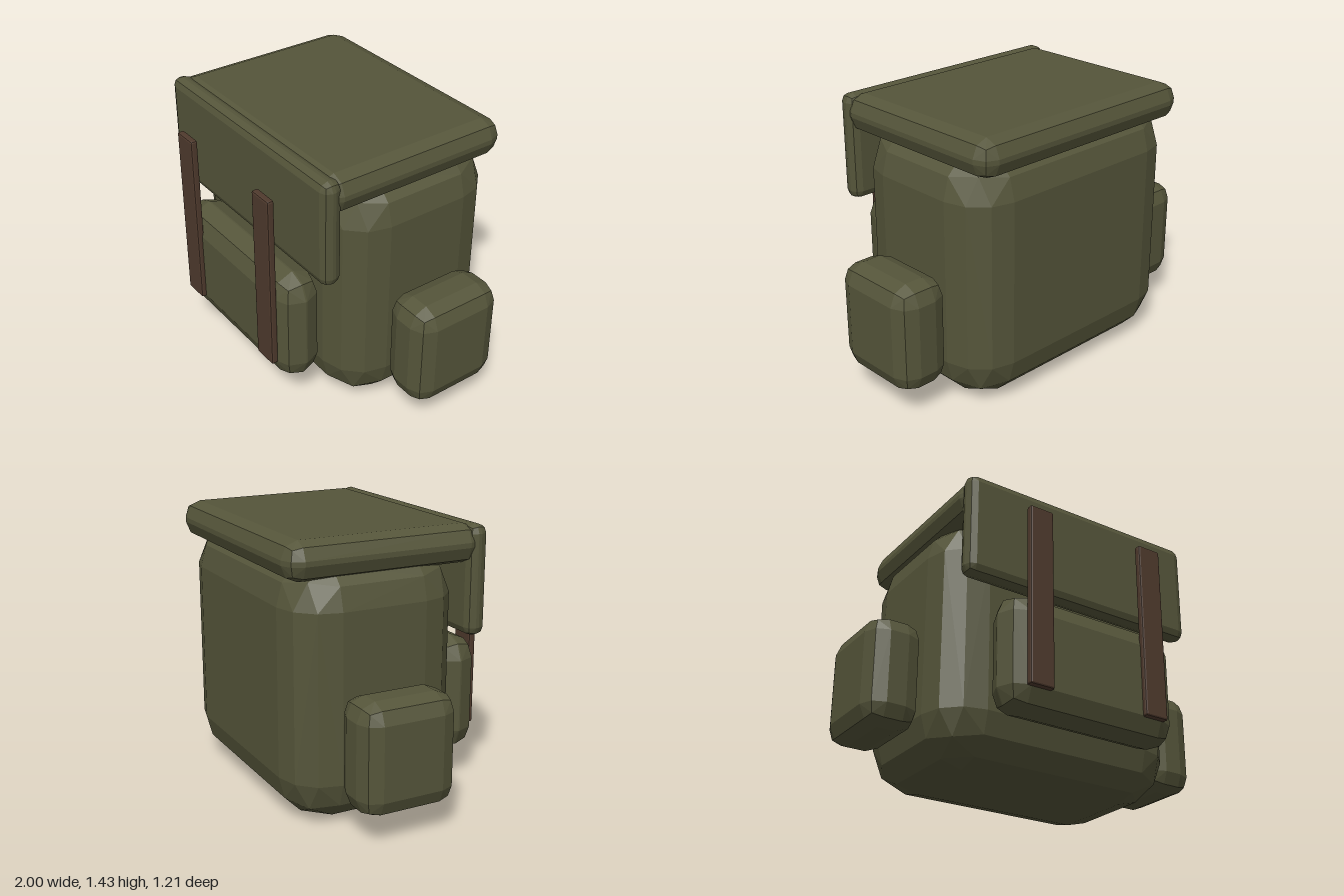
import * as THREE from 'three';
import { ConvexGeometry } from 'three/addons/geometries/ConvexGeometry.js';

const canvas = new THREE.MeshStandardMaterial({ color: 0x55553a });
canvas.name = 'olive canvas';
const leather = new THREE.MeshStandardMaterial({ color: 0x4f3a2d });
leather.name = 'brown leather';

// Directions of a bevelled corner with n segments along each edge
function cornerDirections(n) {
  const dirs = [];
  const s = (i) => Math.sin((i * Math.PI) / 2 / n);
  for (let i = 0; i <= n; i++) {
    for (let j = 0; i + j <= n; j++) {
      dirs.push(new THREE.Vector3(s(i), s(j), s(n - i - j)).normalize());
    }
  }
  if (n === 2) dirs.push(new THREE.Vector3(1, 1, 1).normalize());
  return dirs;
}

// Faceted box between two corners, every edge bevelled with radius r
function bevelBox(name, material, min, max, r, n) {
  const lo = new THREE.Vector3(...min);
  const hi = new THREE.Vector3(...max);
  const centre = lo.clone().add(hi).multiplyScalar(0.5);
  const core = hi.clone().sub(lo).multiplyScalar(0.5).subScalar(r);
  const points = [];
  for (const d of cornerDirections(n)) {
    for (const x of [-1, 1]) for (const y of [-1, 1]) for (const z of [-1, 1]) {
      points.push(d.clone().multiplyScalar(r).add(core).multiply(new THREE.Vector3(x, y, z)));
    }
  }
  const mesh = new THREE.Mesh(new ConvexGeometry(points), material);
  mesh.name = name;
  mesh.position.copy(centre);
  return mesh;
}

export function createModel() {
  const model = new THREE.Group();
  model.name = 'backpack';

  // Main bag
  model.add(bevelBox('body', canvas, [-0.71, 0, -0.575], [0.71, 1.325, 0.34], 0.232, 3));

  // Lid and the flap hanging from its front edge
  model.add(bevelBox('lid', canvas, [-0.688, 1.235, -0.607], [0.688, 1.43, 0.455], 0.085, 2));
  model.add(bevelBox('frontFlap', canvas, [-0.685, 0.865, 0.37], [0.685, 1.428, 0.477], 0.045, 2));

  // Pockets
  model.add(bevelBox('frontPocket', canvas, [-0.508, 0.178, 0.336], [0.508, 0.8, 0.58], 0.118, 2));
  for (const [side, s] of [['left', 1], ['right', -1]]) {
    const x = 0.855 * s;
    model.add(bevelBox(`${side}SidePocket`, canvas, [x - 0.145, 0.148, -0.38], [x + 0.145, 0.716, 0.133], 0.095, 2));
  }

  // Closing straps
  for (const [side, s] of [['left', 1], ['right', -1]]) {
    const x = 0.344 * s;
    model.add(bevelBox(`${side}Strap`, leather, [x - 0.069, 0.29, 0.568], [x + 0.069, 1.26, 0.606], 0.01, 2));
  }
  return model;
}
